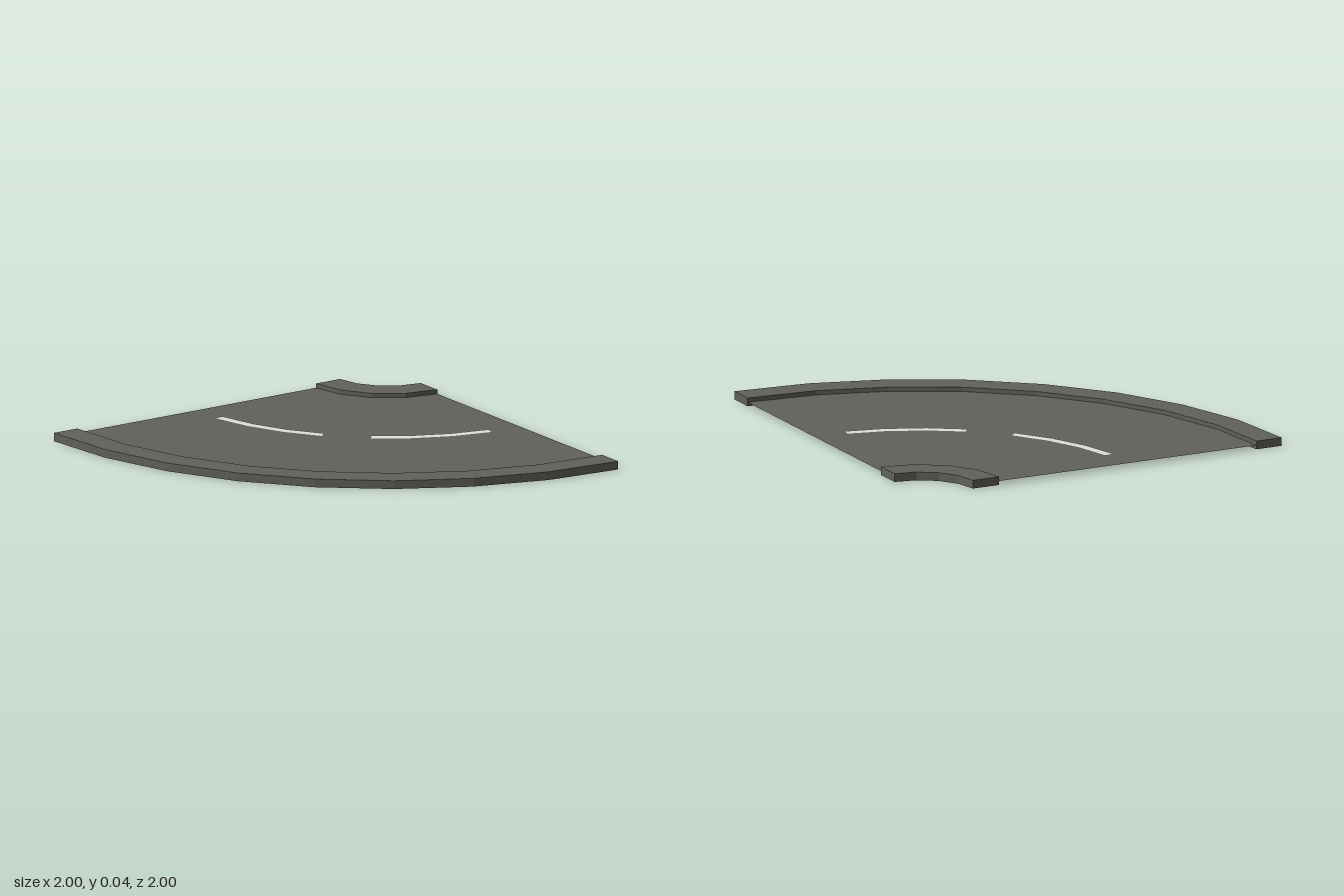
import * as THREE from 'three';

const HEIGHT = 0.042;   // kerb top
const ROAD_Y = 0.02;    // road surface level
const deg = THREE.MathUtils.degToRad;

const asphalt = new THREE.MeshStandardMaterial({ color: 0x62625c, flatShading: true, side: THREE.DoubleSide });
asphalt.name = 'asphalt grey';
const paint = new THREE.MeshStandardMaterial({ color: 0xe0e0e0, flatShading: true, side: THREE.DoubleSide });
paint.name = 'line white';

// Sweeps a profile of [radius, y] points around the bend's centre, from -x towards +z.
function sweep(profile, segments, from, to) {
  const points = profile.map(([r, y]) => new THREE.Vector2(r, y));
  return new THREE.LatheGeometry(points, segments, deg(from - 90), deg(to - from));
}

function addMesh(parent, name, geometry, material) {
  const mesh = new THREE.Mesh(geometry, material);
  mesh.name = name;
  parent.add(mesh);
  return mesh;
}

// Hollow kerb, open underneath, with closed ends.
function makeKerb(name, rIn, rOut, segments) {
  const kerb = new THREE.Group();
  kerb.name = name;
  const profile = [[rOut, 0], [rOut, HEIGHT], [rIn, HEIGHT], [rIn, 0]];
  addMesh(kerb, 'kerbShell', sweep(profile, segments, 0, 90), asphalt);
  const mid = (rIn + rOut) / 2;
  const endA = addMesh(kerb, 'kerbEnd', new THREE.PlaneGeometry(rOut - rIn, HEIGHT), asphalt);
  endA.position.set(0, HEIGHT / 2, mid);
  endA.rotation.y = Math.PI / 2;
  const endB = addMesh(kerb, 'kerbEnd', new THREE.PlaneGeometry(rOut - rIn, HEIGHT), asphalt);
  endB.position.set(-mid, HEIGHT / 2, 0);
  endB.rotation.y = Math.PI;
  return kerb;
}

// Flat road between the two kerbs, which have different segment counts.
function makeRoadGeometry(rIn, segIn, rOut, segOut) {
  const arc = (r, n) => Array.from({ length: n + 1 }, (_, i) => {
    const a = (i / n) * Math.PI / 2;
    return new THREE.Vector2(-r * Math.cos(a), -r * Math.sin(a));
  });
  const shape = new THREE.Shape([...arc(rOut, segOut), ...arc(rIn, segIn).reverse()]);
  return new THREE.ShapeGeometry(shape).rotateX(-Math.PI / 2).translate(0, ROAD_Y, 0);
}

export function createModel() {
  const model = new THREE.Group();
  model.name = 'roadBend';

  // Everything turns about the back left corner.
  const bend = new THREE.Group();
  bend.name = 'bend';
  bend.position.set(1, 0, -1);
  model.add(bend);

  addMesh(bend, 'road', makeRoadGeometry(0.43, 4, 1.86, 8), asphalt);
  bend.add(makeKerb('outerKerb', 1.86, 2, 8));
  bend.add(makeKerb('innerKerb', 0.286, 0.43, 4));

  // Two painted dashes along the middle.
  for (const [from, to] of [[8.7, 39.4], [51.2, 81.6]]) {
    const y = ROAD_Y + 0.003;
    addMesh(bend, 'centreDash', sweep([[1.171, y], [1.121, y]], 3, from, to), paint);
  }
  return model;
}
